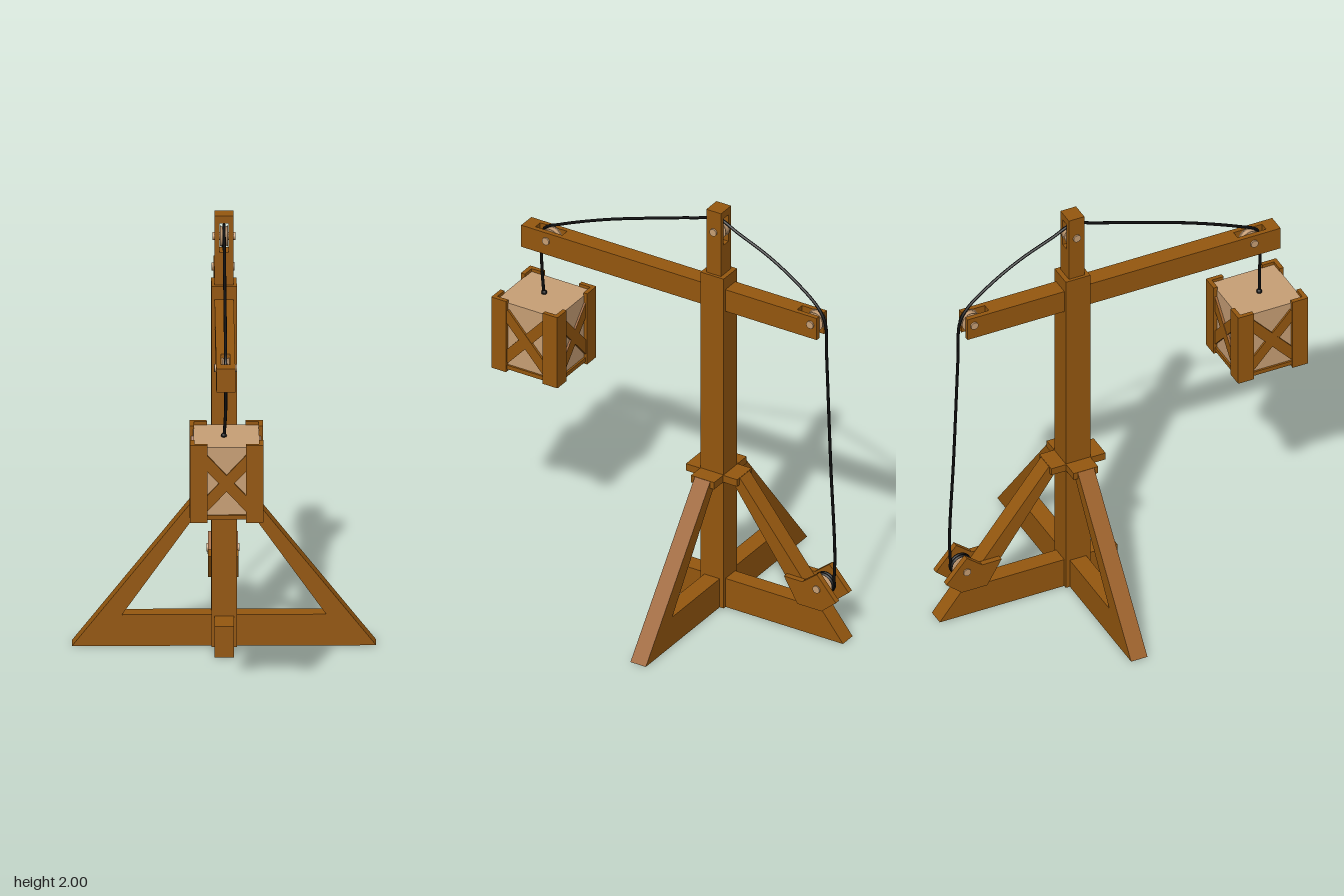
import * as THREE from 'three';

const wood = new THREE.MeshStandardMaterial({ color: 0x96580f });
const pale = new THREE.MeshStandardMaterial({ color: 0xc9a076 });
const black = new THREE.MeshStandardMaterial({ color: 0x0c0c0c });
const POST_Z = -0.2;

function add(parent, name, geometry, material = wood, x = 0, y = 0, z = 0) {
  const mesh = new THREE.Mesh(geometry, material);
  mesh.name = name;
  mesh.position.set(x, y, z);
  parent.add(mesh);
  return mesh;
}

const box = (w, h, d) => new THREE.BoxGeometry(w, h, d);
const vectors = (pts) => pts.map(([a, b]) => new THREE.Vector2(a, b));

// Plate from an outline, with optional hole, centred on its thickness
function plate(outline, depth, hole) {
  const shape = new THREE.Shape(vectors(outline));
  if (hole) shape.holes.push(new THREE.Path(vectors(hole)));
  return new THREE.ExtrudeGeometry(shape, { depth, bevelEnabled: false }).translate(0, 0, -depth / 2);
}

// Grooved wheel on an axle along x
function pulley(parent, name, y, z, axleLength) {
  const group = new THREE.Group();
  group.name = name;
  group.position.set(0, y, z);
  const profile = vectors([[0, -0.017], [0.047, -0.017], [0.04, -0.006], [0.04, 0.006], [0.047, 0.017], [0, 0.017]]);
  add(group, 'wheel', new THREE.LatheGeometry(profile, 20).rotateZ(Math.PI / 2), pale);
  add(group, 'axle', new THREE.CylinderGeometry(0.018, 0.018, axleLength, 14).rotateZ(Math.PI / 2), pale);
  parent.add(group);
}

function createBase() {
  const base = new THREE.Group();
  base.name = 'base';
  base.position.z = POST_Z;
  // Foot and slanting brace in one frame, on three sides of the post
  const frame = plate(
    [[0.04, 0], [0.67, 0], [0.135, 0.68], [0.04, 0.68]], 0.08,
    [[0.045, 0.145], [0.045, 0.645], [0.1, 0.645], [0.45, 0.145]]);
  [['leftBrace', 0], ['rightBrace', Math.PI], ['backBrace', Math.PI / 2]].forEach(([name, angle]) => {
    add(base, name, frame).rotation.y = angle;
  });
  add(base, 'frontFoot', box(0.085, 0.145, 0.2), wood, 0, 0.0725, 0.1);
  // Collar around the post
  add(base, 'collarAcross', box(0.27, 0.035, 0.12), wood, 0, 0.6635, 0);
  add(base, 'collarAlong', box(0.12, 0.035, 0.266), wood, 0, 0.6635, 0);
  return base;
}

function createMast() {
  const mast = new THREE.Group();
  mast.name = 'mast';
  add(mast, 'post', box(0.112, 1.68, 0.12), wood, 0, 0.84, POST_Z);
  add(mast, 'postHead', plate(
    [[-0.042, 1.67], [0.042, 1.67], [0.042, 2], [-0.042, 2]], 0.076,
    [[-0.02, 1.83], [-0.02, 1.965], [0.02, 1.965], [0.02, 1.83]]), wood, 0, 0, POST_Z);
  pulley(mast, 'topPulley', 1.895, POST_Z, 0.1);
  // Boom with a closed slot in front and a fork at the back
  const boom = plate(
    [[-0.042, -0.8], [0.042, -0.8], [0.042, 0.735], [0.02, 0.735], [0.02, 0.62],
      [-0.02, 0.62], [-0.02, 0.735], [-0.042, 0.735]], 0.11,
    [[-0.02, -0.74], [-0.02, -0.6], [0.02, -0.6], [0.02, -0.74]]).rotateX(-Math.PI / 2);
  add(mast, 'boom', boom, wood, 0, 1.565, 0);
  pulley(mast, 'frontPulley', 1.58, 0.67, 0.1);
  pulley(mast, 'backPulley', 1.58, -0.703, 0.1);
  return mast;
}

function createWinch() {
  const winch = new THREE.Group();
  winch.name = 'winch';
  // Cheeks on both sides of the back brace; outline x runs toward the back
  const cheek = plate(
    [[0.58, 0.27], [0.65, 0.15], [0.775, 0.15], [0.85, 0.215], [0.75, 0.33], [0.675, 0.27]],
    0.027).rotateY(Math.PI / 2);
  for (const s of [-1, 1]) add(winch, 'winchCheek', cheek, wood, s * 0.053, 0, 0);
  pulley(winch, 'winchWheel', 0.255, -0.75, 0.145);
  for (const x of [-0.007, 0.007]) {
    add(winch, 'ropeCoil', new THREE.TorusGeometry(0.046, 0.008, 8, 24).rotateY(Math.PI / 2), black, x, 0.255, -0.75);
  }
  return winch;
}

function createCrate() {
  const crate = new THREE.Group();
  crate.name = 'crate';
  crate.position.set(0.003, 1.11, 0.707);
  add(crate, 'crateBox', box(0.29, 0.32, 0.31), pale, 0, 0.005, 0);
  for (let i = 0; i < 4; i++) {
    const side = new THREE.Group();
    side.name = 'crateSide';
    side.rotation.y = i * Math.PI / 2;
    const out = i % 2 ? 0.152 : 0.162;
    const half = i % 2 ? 0.17 : 0.16;
    // Corner boards
    for (const s of [-1, 1]) {
      add(side, 'cornerBoard', box(0.075, 0.36, 0.02), wood, s * (half - 0.0375), 0, out);
    }
    // Crossed boards
    for (const s of [-1, 1]) {
      add(side, 'crossBoard', box(0.05, 0.32, 0.012), wood, 0, 0, out - 0.003 + s * 0.001).rotation.z = s * 0.74;
    }
    add(side, 'bottomRail', box(half * 2 - 0.04, 0.02, 0.016), wood, 0, -0.158, out - 0.006);
    crate.add(side);
  }
  return crate;
}

function createRope() {
  // Path as [y, z] from the crate over the pulleys to the winch
  const path = [[1.26, 0.712], [1.4, 0.718], [1.55, 0.72], [1.615, 0.705], [1.66, 0.62], [1.755, 0.39],
    [1.85, 0.11], [1.91, -0.08], [1.943, -0.2], [1.9, -0.3], [1.83, -0.46], [1.745, -0.6],
    [1.65, -0.715], [1.58, -0.753], [1.4, -0.761], [0.86, -0.782], [0.41, -0.803], [0.27, -0.798]];
  const curve = new THREE.CatmullRomCurve3(
    path.map(([y, z], i) => new THREE.Vector3(i === 0 ? -0.008 : 0, y, z)));
  const rope = new THREE.Group();
  rope.name = 'rope';
  add(rope, 'ropeLine', new THREE.TubeGeometry(curve, 140, 0.007, 8), black);
  add(rope, 'ropeKnot', new THREE.SphereGeometry(0.013, 10, 8), black, -0.008, 1.28, 0.712);
  return rope;
}

export function createModel() {
  const model = new THREE.Group();
  model.name = 'crane';
  model.add(createBase(), createMast(), createWinch(), createCrate(), createRope());
  return model;
}
